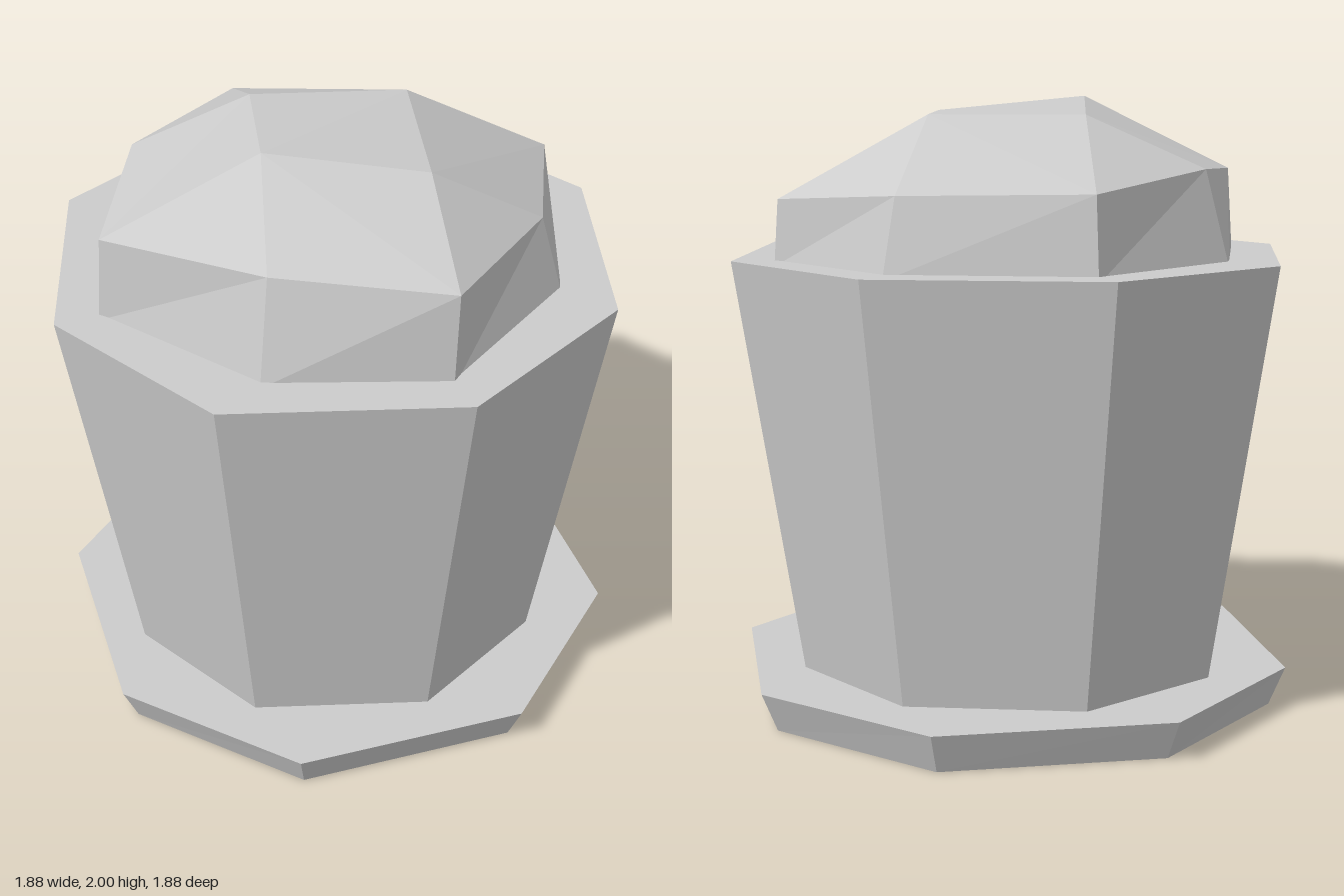
import * as THREE from 'three';

const material = new THREE.MeshStandardMaterial({
  color: 0xcccccc, flatShading: true, side: THREE.DoubleSide,
});

// Eight-sided ring: two corners repeated by quarter turns
function ring(corners, y, cx = 0, cz = 0) {
  const points = [];
  for (let k = 0; k < 4; k++) {
    for (const corner of corners) {
      let [x, z] = corner;
      for (let i = 0; i < k; i++) [x, z] = [z, -x];
      points.push([x + cx, y, z + cz]);
    }
  }
  return points;
}

// Side walls between two rings, lower one first
function walls(low, high) {
  const faces = [];
  const n = low.length;
  for (let i = 0; i < n; i++) {
    const j = (i + 1) % n;
    faces.push([low[i], low[j], high[j]], [low[i], high[j], high[i]]);
  }
  return faces;
}

// Flat lid over a ring
const lid = (r) => r.slice(2).map((p, i) => [r[0], r[i + 1], p]);

function addMesh(group, name, faces) {
  const geometry = new THREE.BufferGeometry();
  geometry.setAttribute('position', new THREE.Float32BufferAttribute(faces.flat(2), 3));
  geometry.computeVertexNormals();
  const mesh = new THREE.Mesh(geometry, material);
  mesh.name = name;
  group.add(mesh);
}

export function createModel() {
  const group = new THREE.Group();
  group.name = 'pottedBush';

  // Saucer: flared rim, closed on top and hollow underneath
  const saucerLow = ring([[-0.105, 0.882], [0.52, 0.725]], 0);
  const saucerHigh = ring([[-0.11, 0.938], [0.55, 0.77]], 0.13);
  addMesh(group, 'saucer', [...walls(saucerLow, saucerHigh), ...lid(saucerHigh)]);

  // Pot: tapered, closed at the soil, open foot sunk into the saucer
  const potLow = ring([[-0.265, 0.668], [0.265, 0.668]], 0.085, -0.005, 0.01);
  const potHigh = ring([[-0.345, 0.88], [0.345, 0.88]], 1.49, -0.005, 0.01);
  addMesh(group, 'pot', [...walls(potLow, potHigh), ...lid(potHigh)]);

  // Bush: irregular faceted dome
  const base = [
    [-0.29, 0.76], [0.33, 0.69], [0.745, 0.3], [0.67, -0.32],
    [0.28, -0.745], [-0.29, -0.74], [-0.755, -0.29], [-0.685, 0.335],
  ].map(([x, z]) => [x, 1.47, z]);
  const shoulder = [
    [-0.28, 1.755, 0.745], [0.29, 1.8, 0.61], [0.74, 1.775, 0.28], [0.6, 1.73, -0.29],
    [0.27, 1.685, -0.735], [-0.27, 1.72, -0.675], [-0.72, 1.73, -0.27], [-0.61, 1.78, 0.3],
  ];
  const crown = [[0.02, 2, 0.35], [0.415, 1.95, 0.03], [0.01, 1.95, -0.33], [-0.34, 1.95, 0.03]];
  const bush = walls(base, shoulder);
  crown.forEach((c, k) => {
    const next = crown[(k + 1) % 4];
    const a = shoulder[2 * k], b = shoulder[2 * k + 1], d = shoulder[(2 * k + 2) % 8];
    bush.push([c, a, b], [c, b, d], [c, d, next]);
  });
  bush.push([crown[0], crown[1], crown[2]], [crown[0], crown[2], crown[3]]);
  addMesh(group, 'bush', bush);

  return group;
}
